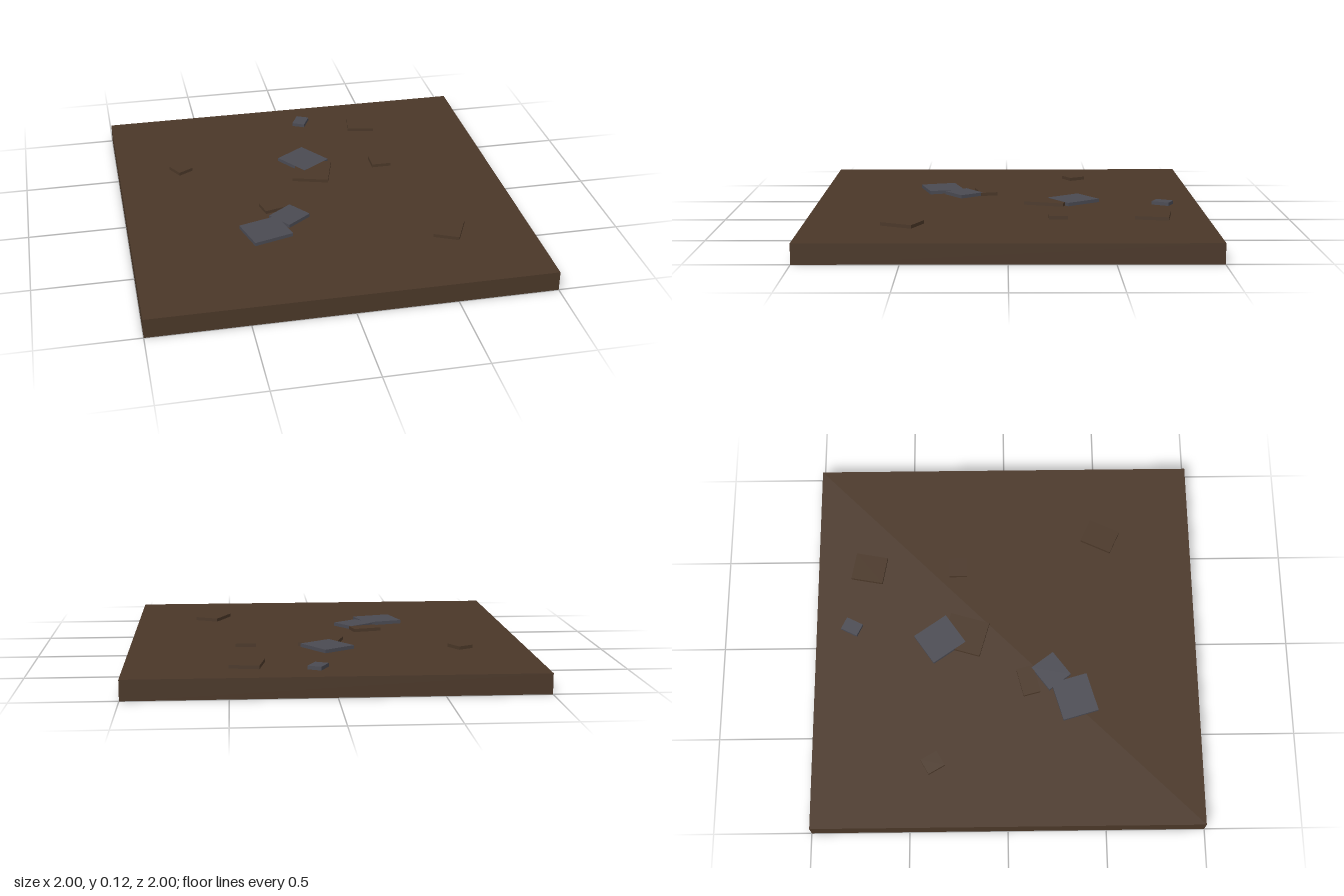
import * as THREE from 'three';

export function createModel() {
  const model = new THREE.Group();
  const soil = new THREE.MeshStandardMaterial({ color: 0x4a3728 });
  soil.name = 'soilBrown';
  const stone = new THREE.MeshStandardMaterial({ color: 0x4a4a52 });
  stone.name = 'stoneGrey';

  // Box named for its part, set by its bottom and top heights
  function slab(name, material, x, z, width, depth, bottom, top, turn = 0) {
    const mesh = new THREE.Mesh(new THREE.BoxGeometry(width, top - bottom, depth), material);
    mesh.name = name;
    mesh.position.set(x, (bottom + top) / 2, z);
    mesh.rotation.y = turn;
    model.add(mesh);
  }

  // Square ground tile
  slab('groundTile', soil, 0, 0, 2, 2, 0, 0.1);

  // Raised clods of earth: x, z, width, depth, turn
  const clods = [
    [0.414, -0.727, 0.147, 0.169, -0.18],
    [0.415, -0.252, 0.104, 0.094, 0],
    [-0.666, -0.382, 0.086, 0.094, 0.52],
    [0.029, -0.214, 0.19, 0.211, -0.286],
    [-0.23, 0.115, 0.149, 0.09, 0.254],
    [0.588, 0.516, 0.13, 0.172, -0.44],
  ];
  clods.forEach(([x, z, w, d, turn], i) => slab(`earthClod${i + 1}`, soil, x, z, w, d, 0.095, 0.117, turn));

  // Flat stones, a hair higher so they lie over the clods
  const stones = [
    [0.08, -0.813, 0.07, 0.094, -0.46],
    [0.005, -0.348, 0.183, 0.203, 0.606],
    [-0.179, 0.235, 0.153, 0.141, 0.64],
    [-0.321, 0.356, 0.208, 0.19, 0.28],
  ];
  stones.forEach(([x, z, w, d, turn], i) => slab(`flatStone${i + 1}`, stone, x, z, w, d, 0.095, 0.118, turn));

  return model;
}
